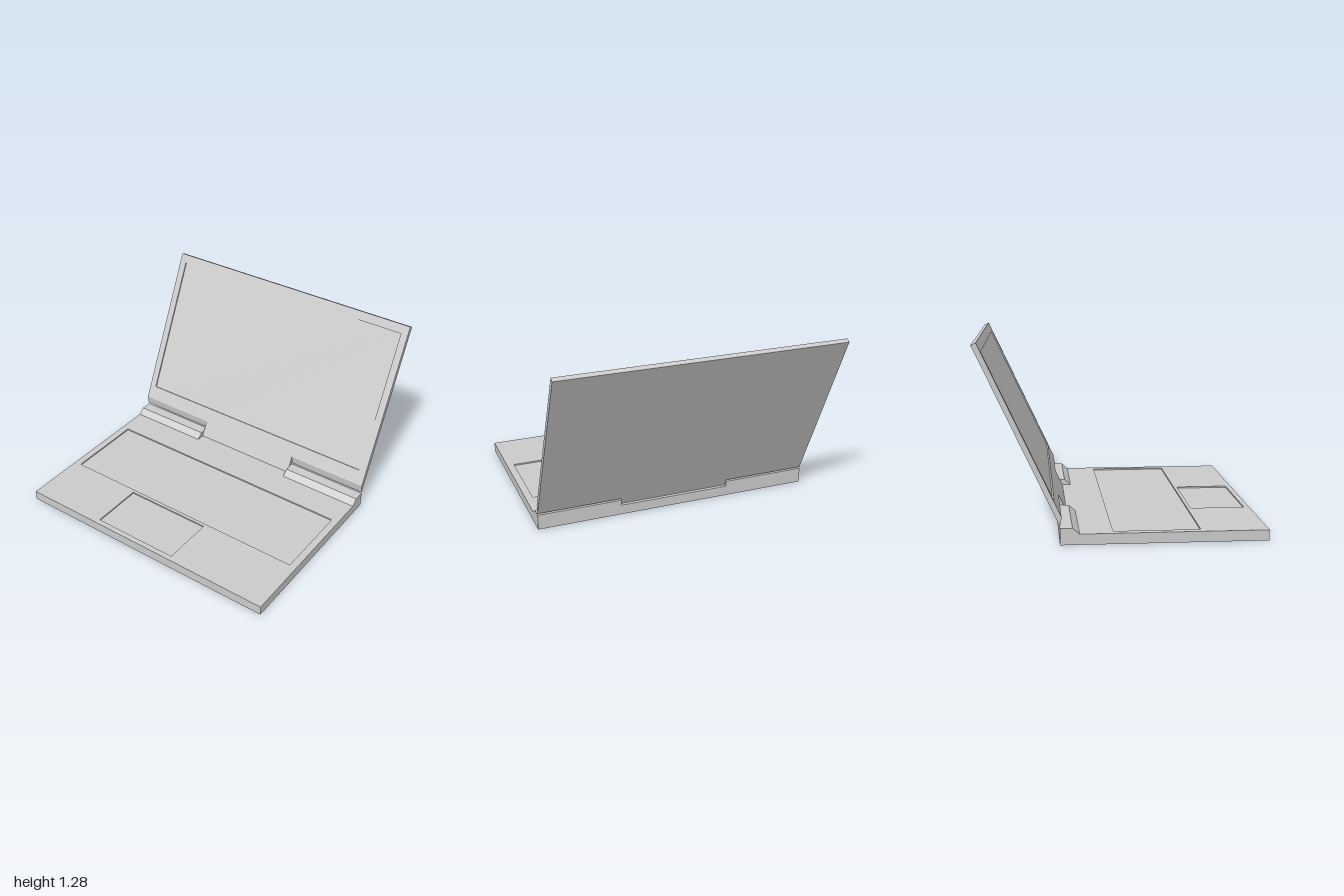
import * as THREE from 'three';
import { mergeGeometries } from 'three/addons/utils/BufferGeometryUtils.js';

const material = new THREE.MeshStandardMaterial({ color: 0xcccccc, flatShading: true });
const RECESS = 0.01;

const points = (list) => list.map(([x, y]) => new THREE.Vector2(x, y));
const rect = (x0, x1, y0, y1) => points([[x0, y0], [x1, y0], [x1, y1], [x0, y1]]);

function extrude(outline, holes, depth, z) {
  const shape = new THREE.Shape(outline);
  shape.holes = holes.map((h) => new THREE.Path(h));
  return new THREE.ExtrudeGeometry(shape, { depth, bevelEnabled: false }).translate(0, 0, z);
}

// Panel with its face at z = 0: a solid back layer under a face layer with recesses cut out
function recessedPanel(outline, recesses, thickness) {
  return mergeGeometries([
    extrude(outline, [], thickness - RECESS, -thickness),
    extrude(outline, recesses, RECESS, -RECESS),
  ]);
}

function addMesh(parent, name, geometry) {
  const mesh = new THREE.Mesh(geometry, material);
  mesh.name = name;
  parent.add(mesh);
  return mesh;
}

export function createModel() {
  const model = new THREE.Group();
  model.name = 'laptop';

  // Base slab with keyboard and touchpad recesses
  const baseHeight = 0.07;
  const keyboard = rect(-0.948, 0.948, -0.5, 0.065);
  const touchpad = rect(-0.405, 0.242, -0.9, -0.525);
  const base = recessedPanel(rect(-1, 1, -0.938, 0.405), [keyboard, touchpad], baseHeight);
  base.rotateX(-Math.PI / 2).translate(0, baseHeight, 0);
  addMesh(model, 'base', base);

  // Raised hinge blocks with a sloped front, either side of the lid tongue
  const hingeProfile = points([[0.28, 0.07], [0.405, 0.07], [0.405, 0.109], [0.325, 0.109]]);
  for (const [name, x] of [['leftHingeBlock', 0.4], ['rightHingeBlock', -1]]) {
    const block = extrude(hingeProfile, [], 0.6, 0);
    block.rotateY(Math.PI / 2).translate(x, 0, 0);
    addMesh(model, name, block);
  }

  // Lid: a wide panel with a central tongue reaching down to the base
  const lidThickness = 0.035, lidLength = 1.335, shoulder = 0.124;
  const lidOutline = points([
    [-0.4, 0], [0.4, 0], [0.4, shoulder], [1, shoulder],
    [1, lidLength], [-1, lidLength], [-1, shoulder], [-0.4, shoulder],
  ]);
  const lid = recessedPanel(lidOutline, [rect(-0.948, 0.948, 0.23, 1.27)], lidThickness);

  // Slant the lower edges: shoulders drop towards the back, the tongue end sits level
  const pos = lid.attributes.position;
  for (let i = 0; i < pos.count; i++) {
    const y = pos.getY(i), z = pos.getZ(i);
    if (Math.abs(y - shoulder) < 1e-4) pos.setY(i, y + z * 1.51);
    else if (Math.abs(y) < 1e-4) pos.setY(i, -z * 0.466);
  }
  lid.computeVertexNormals();

  const lidMesh = addMesh(model, 'screenLid', lid);
  lidMesh.position.set(0, baseHeight, -0.341);
  lidMesh.rotation.x = -THREE.MathUtils.degToRad(25);

  return model;
}
